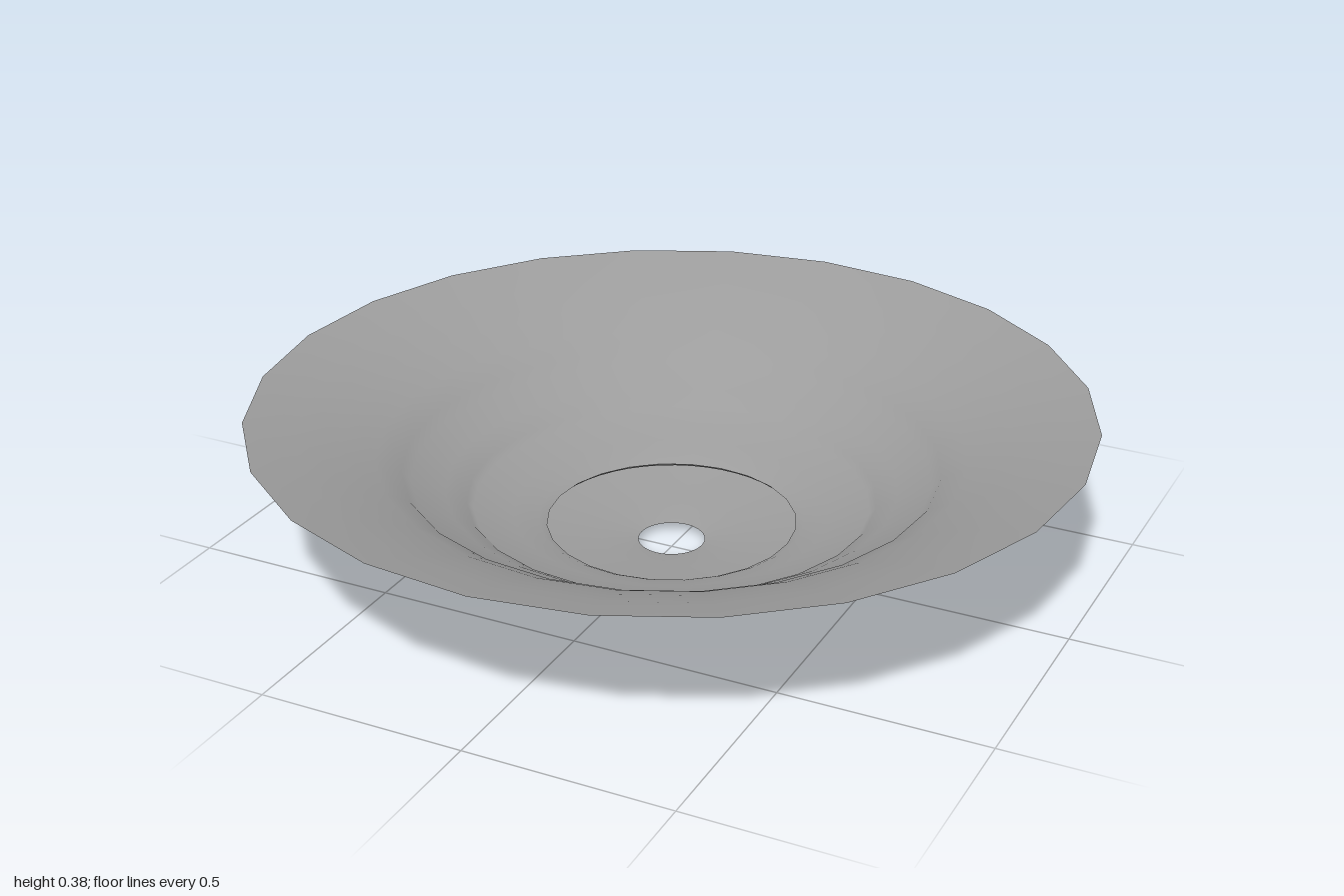
import * as THREE from 'three';

// Thin open shell turned about the y axis from [radius, height] points.
function turned(name, profile, sides, material) {
  const points = profile.map(([r, y]) => new THREE.Vector2(r, y));
  const geometry = new THREE.LatheGeometry(points, sides, THREE.MathUtils.degToRad(1.7));
  const mesh = new THREE.Mesh(geometry, material);
  mesh.name = name;
  return mesh;
}

export function createModel() {
  const grey = new THREE.MeshStandardMaterial({ color: 0x9c9c9c, side: THREE.DoubleSide });
  grey.name = 'plain grey';

  const group = new THREE.Group();
  group.name = 'bowl';

  // Foot flaring down from the open neck
  group.add(turned('foot', [[0.2, 0], [0.15, 0.008], [0.11, 0.014], [0.08, 0.022]], 48, grey));

  // Shallow floor, ending in a small fold beneath the bowl wall
  group.add(turned('floor',
    [[0.08, 0.022], [0.11, 0.029], [0.17, 0.037], [0.25, 0.048], [0.33, 0.06]], 48, grey));
  group.add(turned('floorFold', [[0.33, 0.06], [0.308, 0.066], [0.3, 0.074]], 48, grey));

  // Stepped wall widening to the faceted rim
  group.add(turned('wall', [
    [0.3, 0.074], [0.32, 0.085], [0.38, 0.103], [0.475, 0.128],
    [0.49, 0.145], [0.54, 0.175], [0.62, 0.21],
    [0.64, 0.235], [0.7, 0.268], [0.78, 0.303], [0.88, 0.342], [1, 0.377],
  ], 24, grey));

  return group;
}
